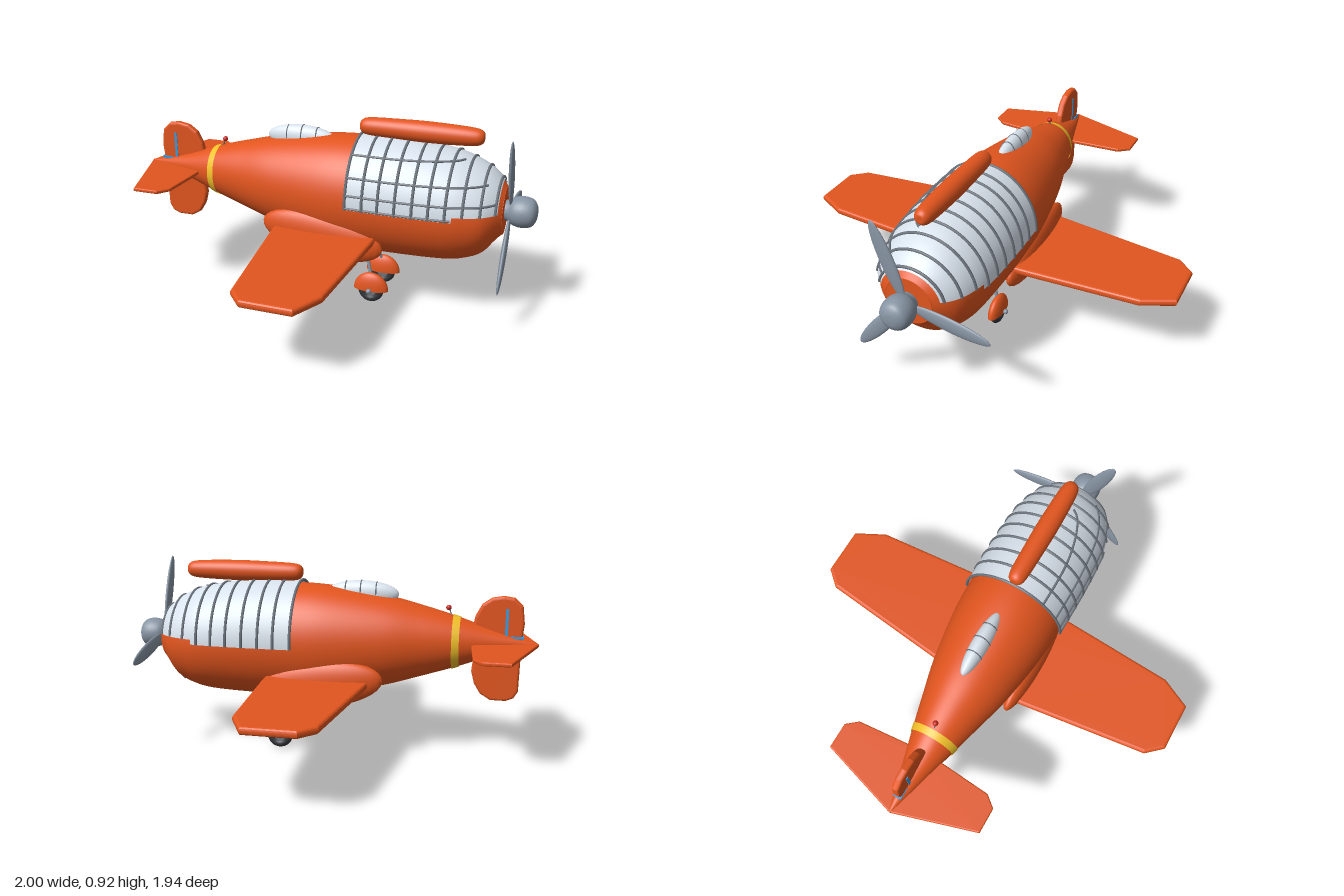
import * as THREE from 'three';
import { ParametricGeometry } from 'three/addons/geometries/ParametricGeometry.js';

const mat = (color) => new THREE.MeshStandardMaterial({ color, side: THREE.DoubleSide });
const V = (x, y, z) => new THREE.Vector3(x, y, z);

// Hull stations: x, top y, bottom y, half width
const stations = [
  [-1, 0.567, 0.553, 0.006], [-0.8, 0.622, 0.505, 0.06], [-0.62, 0.682, 0.44, 0.11],
  [-0.45, 0.73, 0.385, 0.155], [-0.27, 0.772, 0.33, 0.2], [0, 0.812, 0.272, 0.242],
  [0.2, 0.82, 0.256, 0.25], [0.4, 0.815, 0.256, 0.252], [0.6, 0.785, 0.266, 0.245],
  [0.7, 0.755, 0.288, 0.225], [0.77, 0.72, 0.325, 0.198], [0.82, 0.68, 0.39, 0.155],
  [0.85, 0.645, 0.42, 0.115],
];
const centreCurve = new THREE.CatmullRomCurve3(
  stations.map(([x, t, b]) => V(x, (t + b) / 2, (t - b) / 2)), false, 'catmullrom');
const widthCurve = new THREE.CatmullRomCurve3(
  stations.map(([x, , , w]) => V(x, w, 0)), false, 'catmullrom');

// Hull section at a given x: centre height, half height, half width
function section(x) {
  let lo = 0, hi = 1;
  for (let i = 0; i < 24; i++) {
    const mid = (lo + hi) / 2;
    if (centreCurve.getPoint(mid).x < x) lo = mid; else hi = mid;
  }
  const p = centreCurve.getPoint(lo);
  return { cy: p.y, ry: p.z, rz: widthCurve.getPoint(lo).y };
}
function skin(x, angle, off = 0) {
  const { cy, ry, rz } = section(x);
  return V(x, cy + (ry + off) * Math.sin(angle), (rz + off) * Math.cos(angle));
}
function angleAt(x, y) {
  const { cy, ry } = section(x);
  return Math.asin(THREE.MathUtils.clamp((y - cy) / ry, -1, 1));
}
// Patch of hull skin; with sill given it covers only the part above that height
function skinPatch(x0, x1, off, nx, na, sill = null) {
  return new ParametricGeometry((u, v, out) => {
    const x = x0 + (x1 - x0) * u;
    const a = sill === null ? 0 : angleAt(x, sill);
    const span = sill === null ? 2 * Math.PI : Math.PI - 2 * a;
    out.copy(skin(x, a + span * v, off));
  }, nx, na);
}
const tube = (points, r) =>
  new THREE.TubeGeometry(new THREE.CatmullRomCurve3(points), points.length * 2, r, 6);
const range = (n, f) => Array.from({ length: n + 1 }, (_, i) => f(i / n));

// Rounded flat plate from an outline, centred on its thickness
function plate(points, thickness, bevel) {
  const shape = new THREE.Shape(points.map(([x, y]) => new THREE.Vector2(x, y)));
  const g = new THREE.ExtrudeGeometry(shape, {
    depth: thickness - 2 * bevel, bevelSize: bevel, bevelThickness: bevel,
    bevelOffset: -bevel, bevelSegments: 3,
  });
  return g.translate(0, 0, bevel - thickness / 2);
}
// Plate lying flat, outline mirrored across z = 0
function spanPlate(half, thickness, bevel) {
  const mirrored = half.filter(([, z]) => z > 0).reverse().map(([x, z]) => [x, -z]);
  return plate([...half, ...mirrored], thickness, bevel).rotateX(Math.PI / 2);
}
const ellipsoid = (rx, ry, rz) => new THREE.SphereGeometry(1, 32, 20).scale(rx, ry, rz);
// Body of revolution along x from [x, radius] pairs
const latheX = (pts) => new THREE.LatheGeometry(
  new THREE.SplineCurve(pts.map(([x, r]) => new THREE.Vector2(r, x))).getPoints(40)
    .map((p) => p.set(Math.max(p.x, 0), p.y)), 32).rotateZ(-Math.PI / 2);

export function createModel() {
  const model = new THREE.Group();
  const orange = mat(0xe2551e), glass = mat(0xd8e2ec), frame = mat(0x6e757e);
  const steel = mat(0x8794a3), yellow = mat(0xf2c12a), blue = mat(0x3d9bdc);
  const rubber = mat(0x33363a), red = mat(0xc8281e);
  const add = (name, geometry, material, x = 0, y = 0, z = 0, parent = model) => {
    const m = new THREE.Mesh(geometry, material);
    m.name = name;
    m.position.set(x, y, z);
    parent.add(m);
    return m;
  };

  // Fuselage, nose plate and tail band
  add('fuselage', skinPatch(-1, 0.85, 0, 90, 56), orange);
  add('nosePlate', new THREE.CylinderGeometry(0.114, 0.114, 0.01, 40).rotateZ(Math.PI / 2),
    orange, 0.846, 0.532, 0);
  add('tailBand', skinPatch(-0.632, -0.597, 0.004, 4, 56), yellow);

  // Glazed nose with hoops on both sides and stringers on the left
  add('rearGlazing', skinPatch(0.145, 0.645, 0.012, 30, 40, 0.54), glass);
  add('frontGlazing', skinPatch(0.645, 0.835, 0.012, 20, 40, 0.562), glass);
  for (const x of [0.148, 0.23, 0.305, 0.385, 0.465, 0.54, 0.615, 0.69, 0.765, 0.825]) {
    const a = angleAt(x, x < 0.645 ? 0.54 : 0.562);
    add('glazingHoop', tube(range(24, (t) => skin(x, a + (Math.PI - 2 * a) * t, 0.013)), 0.007), frame);
  }
  for (const [y, end] of [[0.765, 0.66], [0.68, 0.78], [0.605, 0.825], [0.547, 0.64]]) {
    add('glazingStringer', tube(range(24, (t) => {
      const x = 0.148 + (end - 0.148) * t;
      return skin(x, angleAt(x, y), 0.013);
    }), 0.006), frame);
  }

  // Pod above the nose
  add('topPod', latheX([[-0.293, 0], [-0.29, 0.025], [-0.25, 0.042], [-0.1, 0.048], [0.05, 0.05],
    [0.24, 0.043], [0.29, 0.027], [0.294, 0]]), orange, 0.437, 0.872, 0);

  // Small rear canopy with ribs
  add('canopy', ellipsoid(0.178, 0.062, 0.042), glass, -0.155, 0.78, 0);
  for (const dx of [-0.075, 0, 0.075]) {
    const k = Math.sqrt(1 - (dx / 0.178) ** 2);
    add('canopyRib', tube(range(12, (t) => V(-0.15 + dx,
      0.78 + 0.062 * k * Math.sin(Math.PI * t), 0.042 * k * Math.cos(Math.PI * t))), 0.003), frame);
  }

  // Wings and root fairings
  add('wing', spanPlate([[0.285, 0], [0.283, 0.25], [0.245, 0.82], [0.17, 0.968], [-0.07, 0.968],
    [-0.14, 0.89], [-0.22, 0.25], [-0.225, 0]], 0.036, 0.014), orange, 0, 0.378, 0);
  for (const side of [1, -1]) {
    const fairing = add('wingFairing', ellipsoid(0.305, 0.115, 0.055), orange, 0.015, 0.365, 0.2 * side);
    fairing.rotation.z = -0.13;
  }

  // Tail surfaces
  add('tailplane', spanPlate([[-0.69, 0], [-0.69, 0.1], [-0.71, 0.345], [-0.755, 0.4],
    [-0.88, 0.4], [-0.998, 0.01]], 0.018, 0.006), orange, 0, 0.558, 0);
  add('upperFin', plate([[-0.92, 0.57], [-0.93, 0.66], [-0.92, 0.745], [-0.88, 0.783], [-0.83, 0.79],
    [-0.775, 0.78], [-0.73, 0.748], [-0.7, 0.69], [-0.68, 0.6]], 0.036, 0.012), orange);
  add('lowerFin', plate([[-0.92, 0.55], [-0.915, 0.33], [-0.895, 0.295], [-0.86, 0.28], [-0.785, 0.28],
    [-0.735, 0.31], [-0.705, 0.36], [-0.69, 0.42], [-0.7, 0.52]], 0.036, 0.012), orange);
  add('finStripe', new THREE.BoxGeometry(0.014, 0.135, 0.042), blue, -0.848, 0.665, 0);
  add('finBaseStripe', new THREE.BoxGeometry(0.06, 0.012, 0.042), blue, -0.9, 0.595, 0);

  // Tail antenna
  add('antennaMast', tube([V(-0.59, 0.68, 0), V(-0.583, 0.7, 0), V(-0.575, 0.725, 0)], 0.003), frame);
  add('antennaBulb', new THREE.SphereGeometry(0.013, 16, 12), red, -0.573, 0.725, 0);

  // Landing gear
  for (const side of [1, -1]) {
    const gear = new THREE.Group();
    gear.name = side > 0 ? 'leftGear' : 'rightGear';
    model.add(gear);
    const z = 0.108 * side;
    add('strut', tube([V(0.195, 0.29, 0.06 * side), V(0.215, 0.21, 0.08 * side),
      V(0.24, 0.12, 0.102 * side)], 0.008), steel, 0, 0, 0, gear);
    add('wheel', new THREE.TorusGeometry(0.044, 0.02, 12, 32), rubber, 0.24, 0.064, z, gear);
    add('wheelDisc', new THREE.CylinderGeometry(0.045, 0.045, 0.024, 24).rotateX(Math.PI / 2),
      frame, 0.24, 0.064, z, gear);
    const dome = new THREE.SphereGeometry(1, 32, 12, 0, Math.PI * 2, 0, Math.PI / 2);
    add('fender', dome.scale(0.088, 0.09, 0.034), orange, 0.24, 0.066, z, gear);
    add('axle', new THREE.CylinderGeometry(0.006, 0.006, 0.05, 10).rotateX(Math.PI / 2),
      steel, 0.24, 0.073, 0.125 * side, gear);
    add('axleCap', new THREE.SphereGeometry(0.013, 16, 12), steel, 0.24, 0.073, 0.15 * side, gear);
  }

  // Propeller and spinner
  const propeller = new THREE.Group();
  propeller.name = 'propeller';
  propeller.position.set(0.875, 0.535, 0);
  model.add(propeller);
  add('spinner', latheX([[-0.03, 0.045], [-0.008, 0.052], [0.02, 0.068], [0.06, 0.074],
    [0.1, 0.064], [0.12, 0.035], [0.125, 0]]), steel, 0, 0, 0, propeller);
  for (let i = 0; i < 3; i++) {
    const blade = add('blade', ellipsoid(0.013, 0.19, 0.037).translate(0, 0.215, 0), steel, 0, 0, 0, propeller);
    blade.rotation.x = 0.36 + (i * 2 * Math.PI) / 3;
  }
  return model;
}
